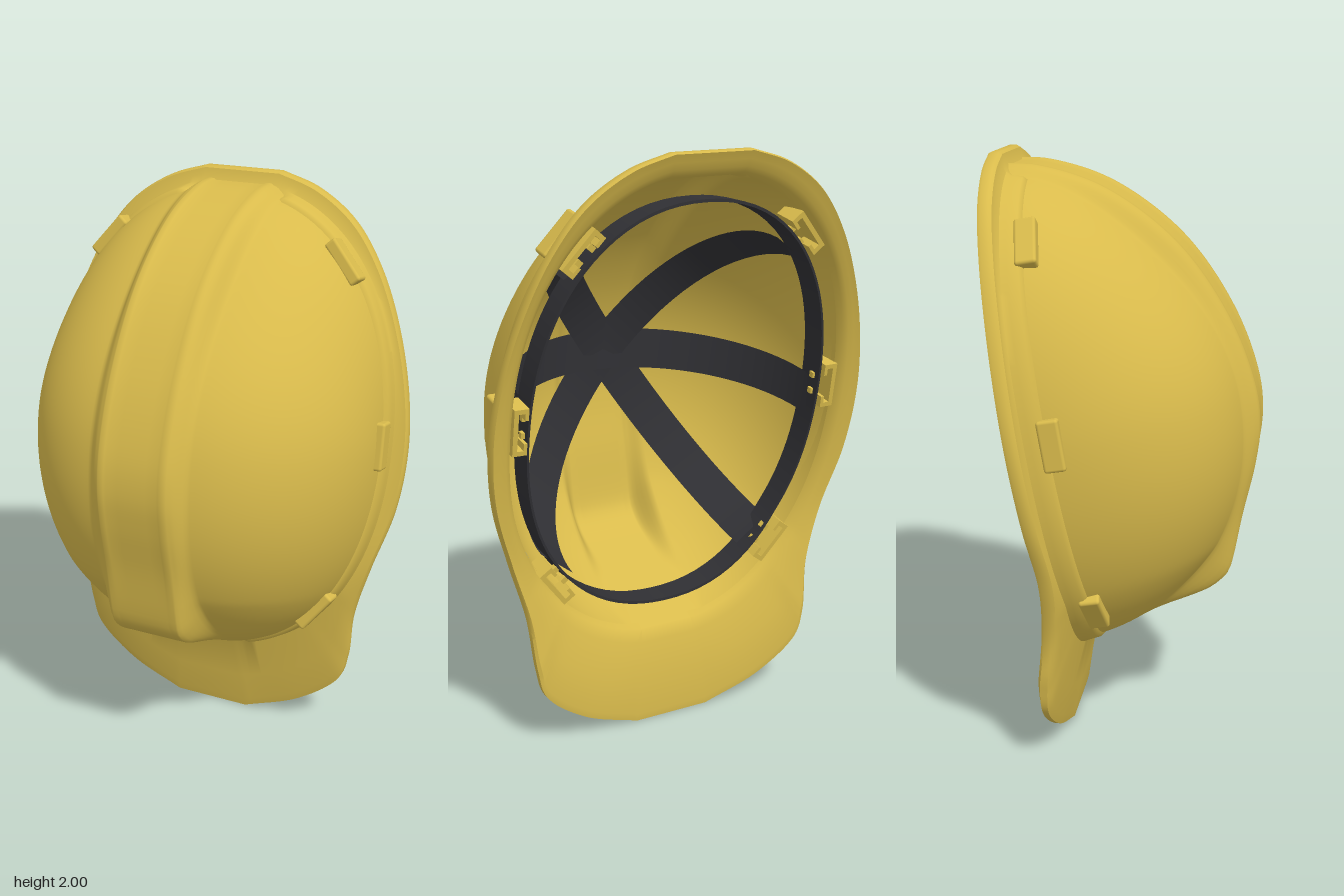
import * as THREE from 'three';
import { toCreasedNormals } from 'three/addons/utils/BufferGeometryUtils.js';
import { RoundedBoxGeometry } from 'three/addons/geometries/RoundedBoxGeometry.js';

const YC = 1.13, ZC = -0.25, RX = 0.63, RY = 0.82, H = 0.65, E = 2.2;
const V = (x, y, z) => new THREE.Vector3(x, y, z);
const { lerp, smoothstep } = THREE.MathUtils;

// Tilted plane of the rim, bending back a little at the visor
const rimZ = (y) => -0.247 - 0.176 * (y - YC) - Math.max(0, 0.6 - y) * 0.13;

// How far the dome leans upward: little at the top, more at the forehead
const lean = (c) => 0.09 - 0.07 * c;

// Point of the dome's rim outline in the direction (dx, dy) from its centre
function rimPoint(dx, dy) {
  const t = Math.pow(Math.pow(Math.abs(dx) / RX, E) + Math.pow(Math.abs(dy) / RY, E), -1 / E);
  return V(dx * t, YC + dy * t, rimZ(YC + dy * t));
}

// Surface from a rule fn(i, j), optionally closed along i
function grid(ni, nj, fn, { closed = false, flip = false } = {}) {
  const pos = [], idx = [];
  for (let i = 0; i < ni; i++) for (let j = 0; j < nj; j++) pos.push(...fn(i, j).toArray());
  for (let i = 0; i < (closed ? ni : ni - 1); i++) {
    for (let j = 0; j < nj - 1; j++) {
      const n = (i + 1) % ni;
      const a = i * nj + j, b = n * nj + j, c = b + 1, d = a + 1;
      if (flip) idx.push(a, c, d, a, b, c);
      else idx.push(a, d, c, a, c, b);
    }
  }
  const g = new THREE.BufferGeometry();
  g.setAttribute('position', new THREE.Float32BufferAttribute(pos, 3));
  g.setIndex(idx);
  g.computeVertexNormals();
  return g;
}

// Side profile of the central ridge (z, y), stored as radius by angle
const ridge = new THREE.CatmullRomCurve3([
  [-0.41, 1.957], [-0.29, 1.952], [-0.075, 1.885], [0.165, 1.71], [0.34, 1.465], [0.43, 1.235],
  [0.447, 1.10], [0.435, 0.98], [0.40, 0.81], [0.37, 0.63], [0.355, 0.58], [0.323, 0.543],
  [0.286, 0.515], [0.07, 0.42], [-0.143, 0.325],
].map(([z, y]) => V(0, y, z)), false, 'centripetal').getPoints(160)
  .map((p) => ({ a: Math.atan2(p.z - ZC, p.y - YC), r: Math.hypot(p.z - ZC, p.y - YC) }));

function ridgeRadius(a) {
  const k = ridge.findIndex((p) => p.a >= a);
  if (k < 0) return ridge[ridge.length - 1].r;
  if (k === 0) return ridge[0].r;
  const p = ridge[k - 1], q = ridge[k];
  return lerp(p.r, q.r, (a - p.a) / (q.a - p.a));
}

// Dome point at column x and angle p, from the top rim over to the bottom rim
function domePoint(x, p) {
  const ax = Math.abs(x);
  const s = Math.pow(Math.max(0, 1 - Math.pow(ax / RX, E)), 1 / E);
  const c = Math.cos(p), yb = YC + RY * s * c;
  const flat = c > 0 ? 1 - 0.04 * Math.sin(2 * p) ** 2 : 1;
  const v = V(x, YC + RY * s * c * flat + lean(c) * s * Math.sin(p),
    rimZ(yb) + H * s * Math.sin(p) * flat);
  const w = 1 - smoothstep(ax, 0.12, 0.18);
  if (w > 0) {
    const a = Math.atan2(v.z - ZC, v.y - YC), r = Math.hypot(v.z - ZC, v.y - YC);
    // Slim rails along both edges of the ridge, fading out at the forehead
    const rail = ax > 0.095 && ax < 0.122 ? 0.005 * smoothstep(v.y, 0.65, 0.9) : 0;
    const k = lerp(1, (ridgeRadius(a) + rail) / r, w);
    v.y = YC + (v.y - YC) * k;
    v.z = ZC + (v.z - ZC) * k;
  }
  return v;
}

export function createModel() {
  const model = new THREE.Group();
  const yellow = new THREE.MeshStandardMaterial({ color: 0xd9bb4c });
  const dark = new THREE.MeshStandardMaterial({ color: 0x303034, side: THREE.DoubleSide });
  const add = (name, geo, mat, parent = model) => {
    const m = new THREE.Mesh(geo, mat);
    m.name = name;
    parent.add(m);
    return m;
  };

  // Dome shell with ridge: columns are closer together at the ridge's flanks
  const half = [0.05, 0.09, 0.098, 0.118, 0.125, 0.135, 0.145, 0.155, 0.165, 0.175, 0.185, 0.2];
  const a0 = Math.asin(0.2 / RX);
  for (let i = 1; i <= 26; i++) half.push(RX * Math.sin(lerp(a0, Math.PI / 2, i / 26)));
  const cols = [...half.map((x) => -x).reverse(), 0, ...half];
  const NP = 97;
  const outer = (i, j) => domePoint(cols[i], Math.PI * j / (NP - 1));
  const inner = (i, j) => {
    const v = outer(i, j);
    return V(v.x * 0.963, YC + (v.y - YC) * 0.967, ZC + (v.z - ZC) * 0.963);
  };
  add('domeOuter', grid(cols.length, NP, outer), yellow);
  add('domeInner', grid(cols.length, NP, inner, { flip: true }), yellow);

  // Brim and visor: one section swept around the outline
  const side = new THREE.CatmullRomCurve3([
    [0.14, 2.0], [0.28, 1.955], [0.42, 1.86], [0.53, 1.71], [0.62, 1.5], [0.675, 1.28],
    [0.69, 1.1], [0.67, 0.9], [0.605, 0.68, -0.17], [0.55, 0.48, -0.178], [0.53, 0.3, -0.198],
    [0.5, 0.2, -0.203], [0.35, 0.08, -0.195], [0.14, 0, -0.182],
  ].map(([x, y, z]) => V(x, y, z ?? rimZ(y))), false, 'centripetal').getPoints(110);
  const outline = [...side, ...side.map((p) => V(-p.x, p.y, p.z)).reverse()];
  // [distance from the dome, share of the brim's width, height]
  const section = [
    [-0.03, 0, 0.085], [-0.003, 0, 0.077], [0.007, 0, 0.065], [0.011, 0, 0.03], [0.014, 0, 0.009],
    [0, 0.55, 0.003], [0, 0.9, 0], [0, 1, -0.01], [0, 1, -0.035], [0, 0.92, -0.045],
    [0, 0.5, -0.036], [0, 0.1, -0.03], [-0.012, 0, -0.015], [-0.024, 0, 0.02], [-0.032, 0, 0.08],
  ];
  const brim = grid(outline.length, section.length, (i, j) => {
    const o = outline[i], d = rimPoint(o.x, o.y - YC);
    const [dist, f, h] = section[j];
    const dir = V(o.x - d.x, o.y - d.y, 0).normalize();
    // The raised skirt sinks into the shell where the ridge runs out
    const sink = h > 0.02 ? 0.03 * (1 - smoothstep(Math.abs(d.x), 0.14, 0.2)) : 0;
    const v = d.clone().lerp(o, f).addScaledVector(dir, Math.max(dist - sink, -0.032));
    const thin = o.y < 0.3 && h < 0 ? lerp(1, lerp(0.45, 1, o.y / 0.3), f) : 1;
    v.y += lean((d.y - YC) / RY) * Math.max(0, h) / H;
    v.z += h * thin;
    return v;
  }, { closed: true, flip: true });
  add('brimAndVisor', toCreasedNormals(brim, 0.75), yellow);

  // Head band
  const NB = 96;
  const ring = (a, k, h) => {
    const d = rimPoint(Math.cos(a), Math.sin(a));
    return V(d.x * k, YC + (d.y - YC) * k, d.z + h);
  };
  const bandSection = [[0.877, 0], [0.877, 0.1], [0.865, 0.1], [0.865, 0], [0.877, 0]];
  add('headBand', toCreasedNormals(grid(NB, 5, (i, j) =>
    ring(i / NB * Math.PI * 2, ...bandSection[j]), { closed: true }), 0.6), dark);

  // Straps crossing at the crown
  const mounts = [[1, 0.04], [0.43, 0.605], [0.44, -0.57]];
  const ends = [mounts[0], mounts[1], [-0.44, 0.57]];
  ends.forEach(([dx, dy], n) => {
    const a = rimPoint(dx, dy).sub(V(0, YC, 0)), b = rimPoint(-dx, -dy).sub(V(0, YC, 0));
    const across = V(-dy, dx, 0).normalize();
    add('crownStrap' + (n + 1), grid(41, 3, (i, j) => {
      const q = Math.PI * i / 40, c = Math.cos(q), rise = Math.sin(q);
      const v = (c >= 0 ? a : b).clone().multiplyScalar(0.86 * Math.abs(c));
      const y = YC + v.y;
      return V(v.x, y + 0.09 * rise, rimZ(y) + 0.05 + 0.52 * rise)
        .addScaledVector(across, (j - 1) * 0.073);
    }), dark);
  });

  // Clips on the outside and brackets on the inside, square to the rim
  for (const s of [1, -1]) {
    for (const [dx, dy] of mounts) {
      const g = new THREE.Group();
      g.name = 'strapMount';
      const p = rimPoint(s * dx, dy), c = (p.y - YC) / RY;
      const nx = Math.pow(Math.abs(p.x) / RX, E - 1) / RX;
      const ny = Math.sign(dy) * Math.pow(Math.abs(c), E - 1) / RY;
      g.position.set(p.x, p.y + lean(c) * 0.09 / H, p.z + 0.09);
      g.rotation.set(-0.17, 0, Math.atan2(ny, s * nx));
      model.add(g);
      const clip = new RoundedBoxGeometry(0.045, 0.165, 0.07, 2, 0.01);
      add('outerClip', clip, yellow, g).position.x = -0.006;
      // Back plate, two arms, two lips and two pegs through the head band
      const box = (name, w, h, d, x, y) =>
        add(name, new THREE.BoxGeometry(w, h, d), yellow, g).position.set(x, y, -0.06);
      box('bracketPlate', 0.016, 0.16, 0.09, -0.03, 0);
      for (const t of [1, -1]) {
        box('bracketArm', 0.04, 0.016, 0.09, -0.05, t * 0.072);
        box('bracketLip', 0.012, 0.04, 0.09, -0.066, t * 0.06);
        box('bandPeg', 0.03, 0.02, 0.02, -0.08, t * 0.03);
      }
    }
  }
  return model;
}
